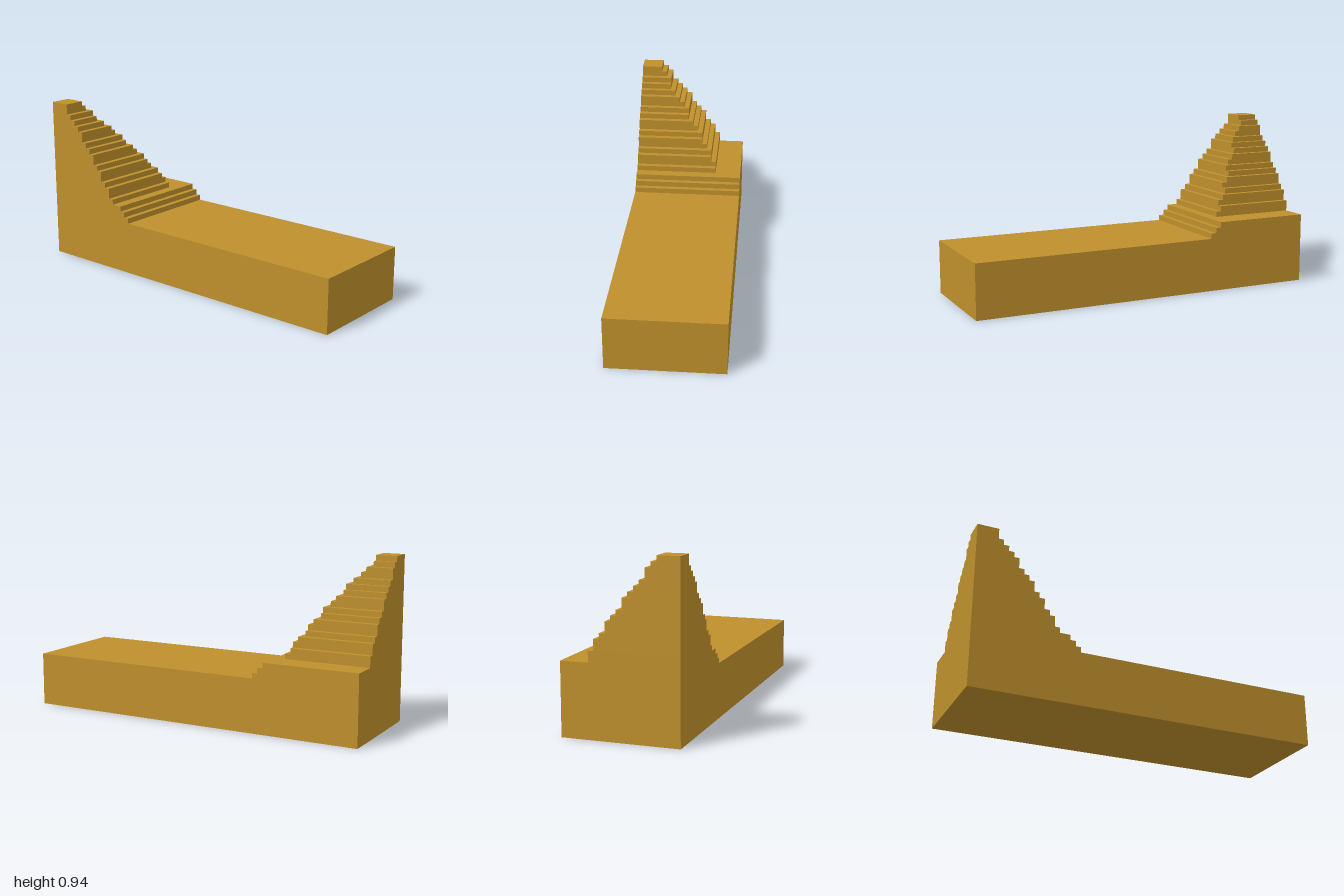
import * as THREE from 'three';

const U = 2 / 66; // one block unit
const LENGTH = 66, DEPTH = 21;

export function createModel() {
  const model = new THREE.Group();
  model.name = 'steppedRamp';
  const ochre = new THREE.MeshStandardMaterial({ color: 0xbe8f2c });
  ochre.name = 'ochre';

  // Block anchored in the front right corner (-x, +z), sizes in units
  function addBlock(name, bottom, top, width, depth) {
    const mesh = new THREE.Mesh(
      new THREE.BoxGeometry(width * U, (top - bottom) * U, depth * U), ochre);
    mesh.position.set(
      (width - LENGTH) / 2 * U, (bottom + top) / 2 * U, (DEPTH - depth) / 2 * U);
    mesh.name = name;
    model.add(mesh);
  }

  // Long base slab
  addBlock('base', 0, 10, LENGTH, DEPTH);

  // Low steps across the full depth
  [20, 19, 18].forEach((width, i) =>
    addBlock('lowStep' + (i + 1), 10 + i, 11 + i, width, DEPTH));

  // Corner tower: [width, depth] of each one-unit layer, from the bottom up
  const layers = [
    [16, 16], [15, 16], [15, 15], [14, 15], [13, 14], [13, 13],
    [12, 13], [11, 12], [11, 11], [10, 10], [9, 10], [8, 9],
    [8, 8], [7, 7], [6, 6], [5, 6], [4, 5], [4, 4],
  ];
  layers.forEach(([width, depth], i) =>
    addBlock('towerStep' + (i + 1), 13 + i, 14 + i, width, depth));

  return model;
}
